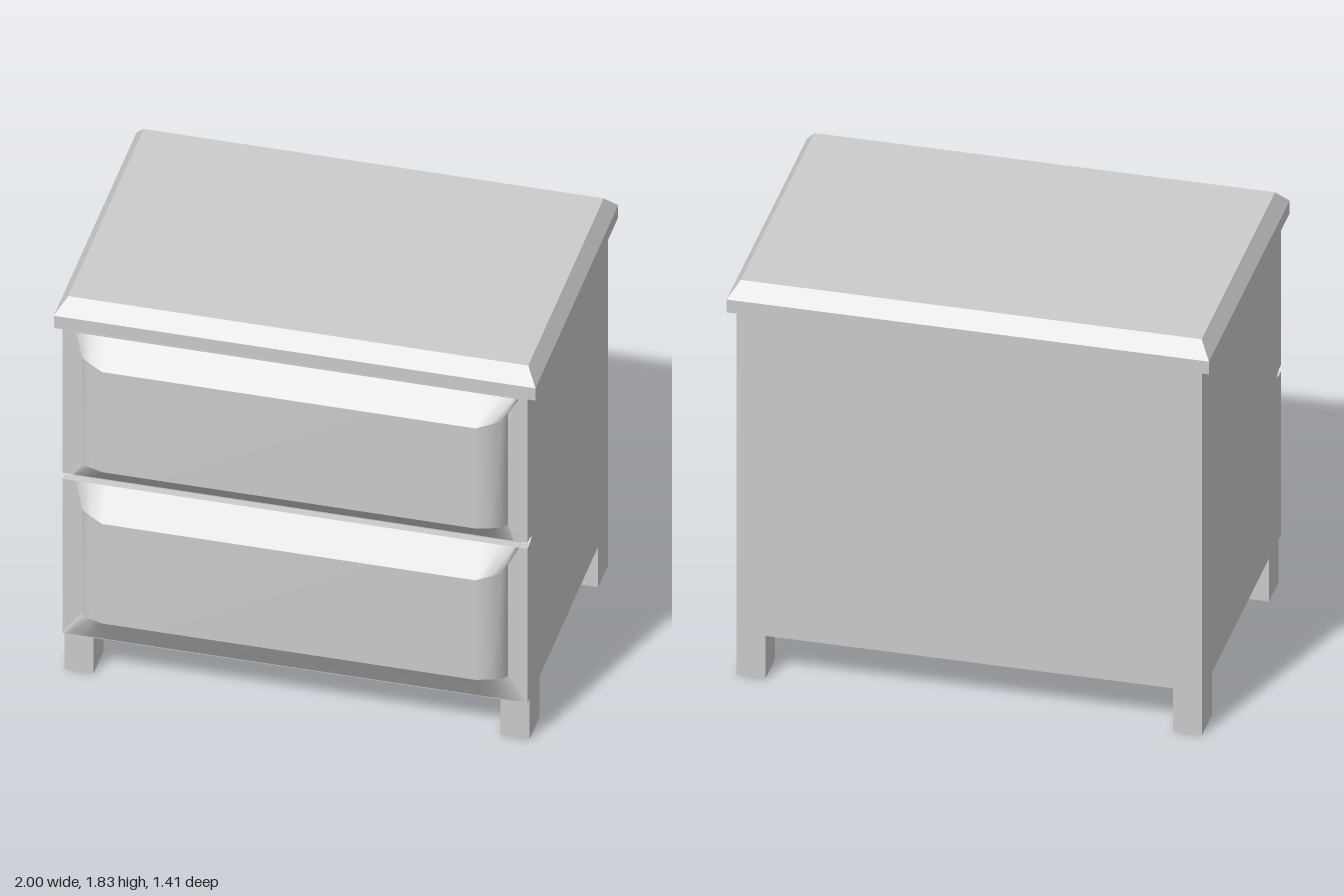
import * as THREE from 'three';

const material = new THREE.MeshStandardMaterial({ color: 0xcccccc });
const flat = new THREE.MeshStandardMaterial({ color: 0xcccccc, flatShading: true });
const thin = new THREE.MeshStandardMaterial({ color: 0xcccccc, side: THREE.DoubleSide });

function add(group, name, geometry, mat = flat) {
  const mesh = new THREE.Mesh(geometry, mat);
  mesh.name = name;
  group.add(mesh);
  return mesh;
}

// Box given by its extents on each axis
function box(x0, x1, y0, y1, z0, z1) {
  return new THREE.BoxGeometry(x1 - x0, y1 - y0, z1 - z0)
    .translate((x0 + x1) / 2, (y0 + y1) / 2, (z0 + z1) / 2);
}

// Surface between equally long rows of points: columns run left to right, rows bottom to top
function loft(rows) {
  const n = rows[0].length, index = [];
  for (let r = 0; r < rows.length - 1; r++) {
    for (let c = 0; c < n - 1; c++) {
      const a = r * n + c, b = a + 1, d = a + n, e = d + 1;
      index.push(a, b, e, a, e, d);
    }
  }
  const geometry = new THREE.BufferGeometry();
  geometry.setAttribute('position', new THREE.Float32BufferAttribute(rows.flat(2), 3));
  geometry.setIndex(index);
  geometry.computeVertexNormals();
  return geometry;
}

// Drawer front: rounded sides, sloping bevels above and below
function drawer(name, bottom, faceBottom, faceTop, top, bottomX) {
  const group = new THREE.Group();
  group.name = name;
  const base = 0.605, front = 0.705;
  const side = [[0.775, front], [0.83, 0.676], [0.87, 0.652], [0.885, base]];
  const mirror = (half) => [...half.map(([x, y, z]) => [-x, y, z]).reverse(), ...half];
  // The face edge drifts outwards as it drops back to the carcass
  const edge = (y, drift) => mirror(side.map(([x, z]) =>
    [x, y + drift * (front - z) / (front - base), z]));
  const rim = (y, endX) => mirror(side.map(([x]) =>
    [0.775 + (x - 0.775) / 0.11 * (endX - 0.775), y, base]));
  const low = edge(faceBottom, -0.03), high = edge(faceTop, 0.03);
  add(group, 'drawerFace', loft([low, high]), thin);
  add(group, 'upperBevel', loft([high, rim(top, 0.93)]), thin);
  add(group, 'lowerBevel', loft([rim(bottom, bottomX), low]), thin);
  return group;
}

// Lid: stacked rectangles, chamfered above and below
function lidGeometry() {
  const levels = [[1.69, 0.965, 0.625], [1.70, 1, 0.658], [1.76, 1, 0.658], [1.825, 0.955, 0.6]];
  const cz = -0.048;
  const rows = levels.map(([y, x, z]) =>
    [[-x, y, cz + z], [x, y, cz + z], [x, y, cz - z], [-x, y, cz - z], [-x, y, cz + z]]);
  const collapse = (y) => Array.from({ length: 5 }, () => [0, y, cz]);
  return loft([collapse(1.69), ...rows, collapse(1.825)]);
}

export function createModel() {
  const model = new THREE.Group();
  model.name = 'nightstand';

  // Carcass: side profile with the groove between the drawers
  const profile = [
    [-0.68, 0.2], [0.605, 0.2], [0.605, 0.96], [0.57, 0.96], [0.53, 0.975],
    [0.57, 0.99], [0.605, 0.99], [0.605, 1.695], [-0.68, 1.695],
  ].map(([z, y]) => new THREE.Vector2(-z, y));
  const carcass = new THREE.ExtrudeGeometry(new THREE.Shape(profile), { depth: 1.93, bevelEnabled: false });
  carcass.translate(0, 0, -0.965).rotateY(Math.PI / 2);
  add(model, 'carcass', carcass);
  add(model, 'grooveBack', box(-0.93, 0.93, 0.955, 0.995, 0.5, 0.57));

  // Drawers
  model.add(drawer('lowerDrawer', 0.203, 0.35, 0.84, 0.96, 0.965));
  model.add(drawer('upperDrawer', 0.99, 1.095, 1.588, 1.69, 0.93));

  // Lid
  add(model, 'lid', lidGeometry());

  // Legs
  for (const [end, z0, z1] of [['front', 0.41, 0.57], ['back', -0.68, -0.52]]) {
    add(model, end + 'LeftLeg', box(0.845, 0.965, 0, 0.2, z0, z1), material);
    add(model, end + 'RightLeg', box(-0.965, -0.845, 0, 0.2, z0, z1), material);
  }
  return model;
}
